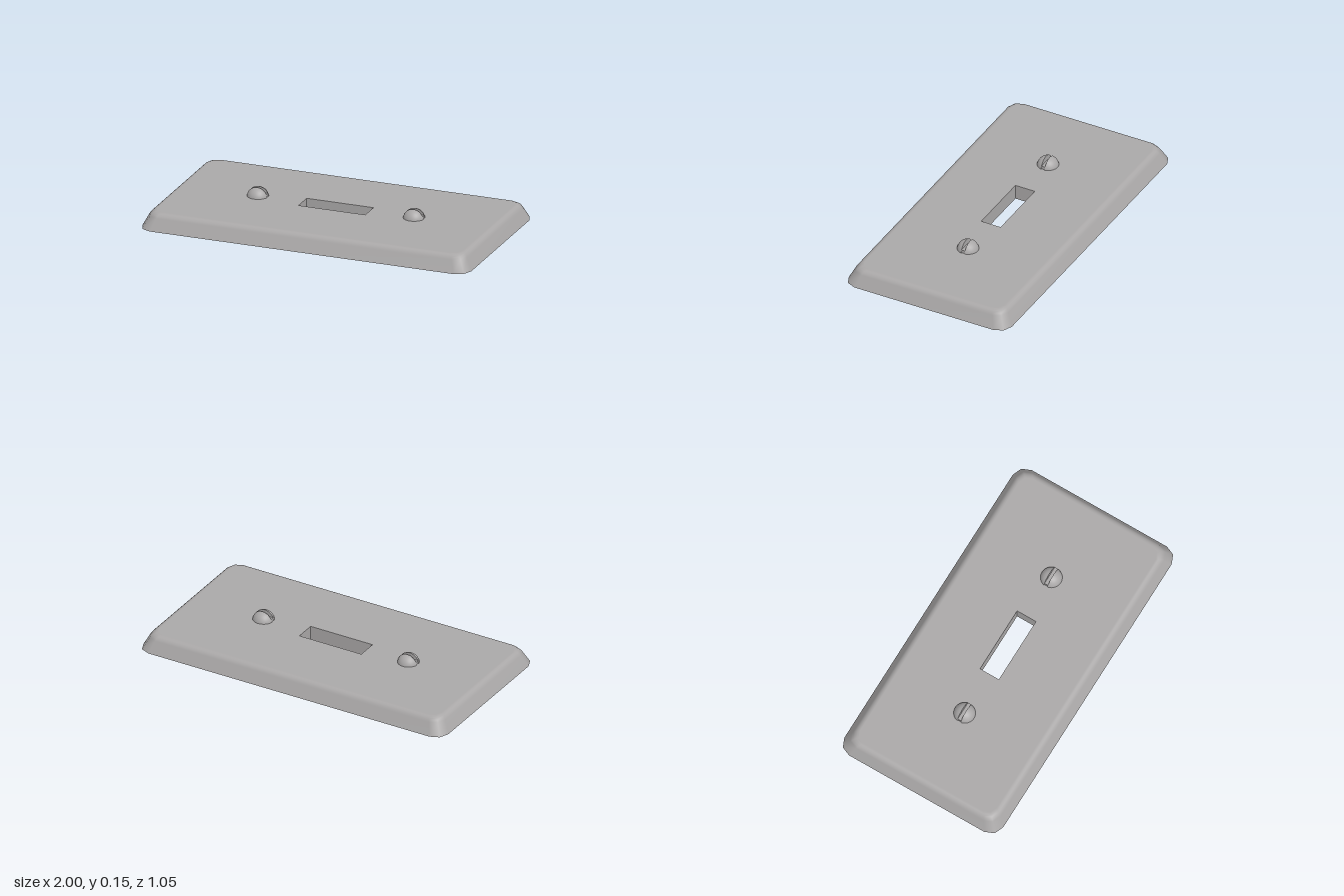
import * as THREE from 'three';

const TOP = 0.097;
const HOLE_X = 0.203, HOLE_Z = 0.062;

// Rounded rectangle outline of the plate, shrunk by an inset: [x, z] points
function outline(inset) {
  const hx = 1 - inset, hz = 0.523 - inset, r = 0.078 - 0.3 * inset;
  const points = [];
  const corners = [[1, 1], [-1, 1], [-1, -1], [1, -1]];
  corners.forEach(([sx, sz], q) => {
    for (let k = 0; k <= 2; k++) {
      const a = (q + k / 2) * Math.PI / 2;
      points.push([sx * (hx - r) + r * Math.cos(a), sz * (hz - r) + r * Math.sin(a)]);
    }
  });
  return points;
}

// Sloped rim lofted from the floor up to the flat face
function rimGeometry(profile) {
  const rings = profile.map(([inset]) => outline(inset));
  const n = rings[0].length;
  const position = [], index = [];
  rings.forEach((ring, j) => {
    ring.forEach(([x, z], i) => {
      position.push(x, profile[j][1], z);
      if (j === rings.length - 1) return;
      const a = j * n + i, b = j * n + (i + 1) % n;
      index.push(a, a + n, b, a + n, b + n, b);
    });
  });
  const g = new THREE.BufferGeometry();
  g.setAttribute('position', new THREE.Float32BufferAttribute(position, 3));
  g.setIndex(index);
  g.computeVertexNormals();
  // the last ring blends smoothly into the flat face
  for (let i = n * (rings.length - 1); i < n * rings.length; i++) {
    g.attributes.normal.setXYZ(i, 0, 1, 0);
  }
  return g;
}

export function createModel() {
  const metal = new THREE.MeshStandardMaterial({ color: 0xaaa8a8, side: THREE.DoubleSide });
  const model = new THREE.Group();
  model.name = 'switchPlate';

  const add = (parent, name, geometry) => {
    const mesh = new THREE.Mesh(geometry, metal);
    mesh.name = name;
    parent.add(mesh);
    return mesh;
  };

  // Rim
  const profile = [[0, 0], [0.035, 0.07], [0.042, 0.082], [0.052, 0.091], [0.062, 0.0955], [0.073, TOP]];
  add(model, 'rim', rimGeometry(profile));

  // Flat face with the toggle opening
  const shape = new THREE.Shape(outline(0.073).map(([x, z]) => new THREE.Vector2(x, z)));
  shape.holes.push(new THREE.Path([
    new THREE.Vector2(-HOLE_X, -HOLE_Z), new THREE.Vector2(-HOLE_X, HOLE_Z),
    new THREE.Vector2(HOLE_X, HOLE_Z), new THREE.Vector2(HOLE_X, -HOLE_Z),
  ]));
  add(model, 'face', new THREE.ShapeGeometry(shape).rotateX(-Math.PI / 2).translate(0, TOP, 0));

  // Thin collar hanging below the opening
  const depth = 0.09;
  const collar = new THREE.CylinderGeometry(Math.SQRT2, Math.SQRT2, depth, 4, 1, true)
    .rotateY(Math.PI / 4).scale(HOLE_X, 1, HOLE_Z).translate(0, TOP - depth / 2, 0).toNonIndexed();
  collar.computeVertexNormals();
  add(model, 'openingCollar', collar);

  // Slotted dome screws
  const R = 0.063, slot = 0.0115, base = 0.088, slotFloor = 0.115 - base;
  const start = Math.asin(slot / R);
  const arc = [];
  for (let k = 0; k <= 8; k++) {
    const a = start + (Math.PI / 2 - start) * k / 8;
    arc.push(new THREE.Vector2(Math.max(0, R * Math.cos(a)), R * Math.sin(a)));
  }
  const half = new THREE.LatheGeometry(arc, 20, Math.PI / 2, Math.PI).rotateX(Math.PI / 2);
  const wall = new THREE.CircleGeometry(R * Math.cos(start), 20, 0, Math.PI)
    .rotateY(Math.PI).translate(0, 0, slot);
  const floorLength = 2 * Math.sqrt(R * R - slotFloor * slotFloor);

  for (const side of [-1, 1]) {
    const screw = new THREE.Group();
    screw.name = side > 0 ? 'leftScrew' : 'rightScrew';
    screw.position.set(side * 0.475, base, 0);
    for (const turn of [0, Math.PI]) {
      add(screw, 'domeHalf', half).rotation.y = turn;
      add(screw, 'slotWall', wall).rotation.y = turn;
    }
    add(screw, 'slotFloor', new THREE.BoxGeometry(floorLength, slotFloor, slot * 2).translate(0, slotFloor / 2, 0));
    add(screw, 'screwBottom', new THREE.CircleGeometry(R, 32).rotateX(Math.PI / 2));
    model.add(screw);
  }
  return model;
}
